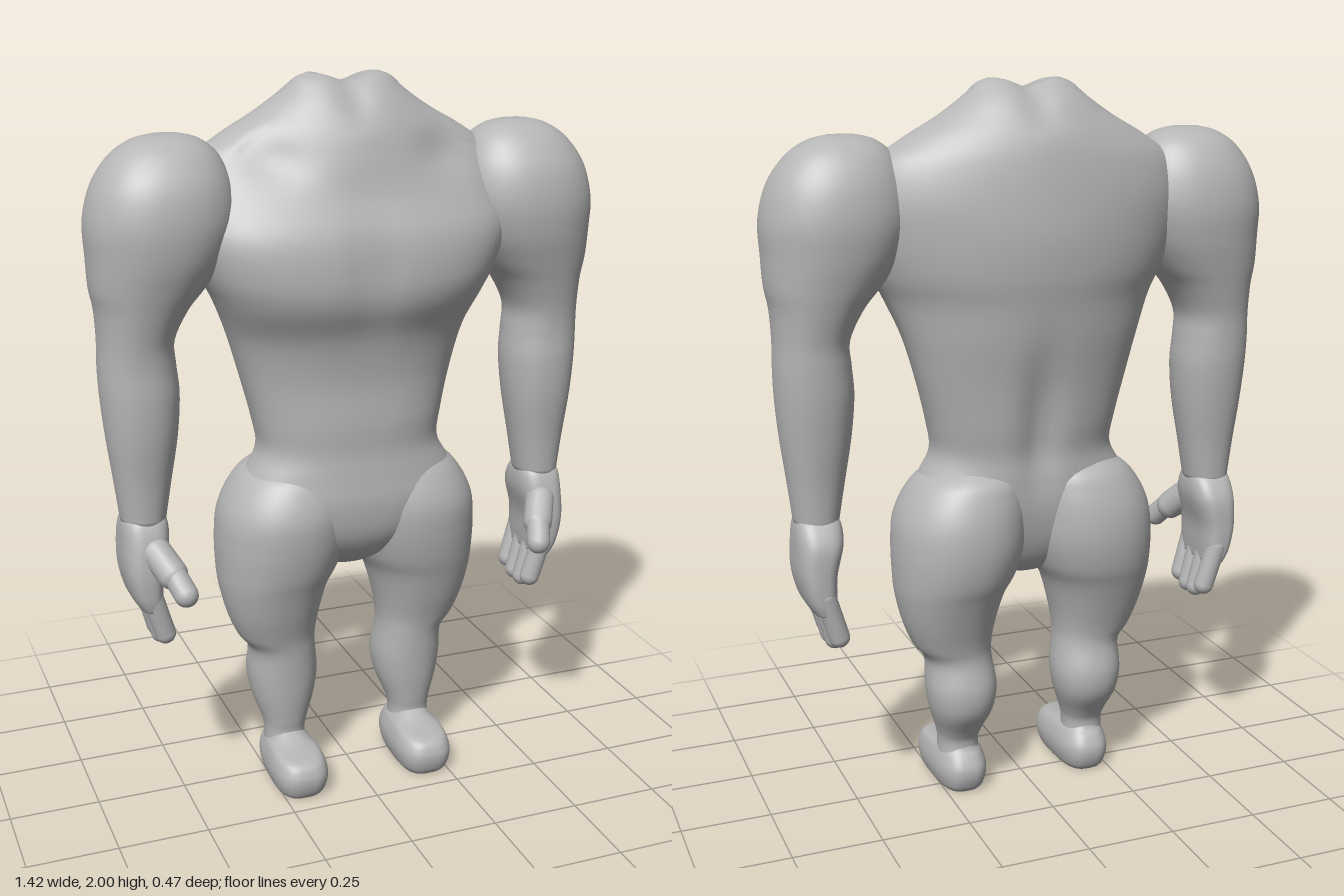
import * as THREE from 'three';

const skin = new THREE.MeshStandardMaterial({ color: 0xb6b6b6 });
skin.name = 'plain grey';

// Smooth value through a list of numbers (Catmull-Rom)
function spline(p, i, t) {
  const a = p[Math.max(i - 1, 0)], b = p[i], c = p[i + 1], d = p[Math.min(i + 2, p.length - 1)];
  return b.map((_, k) => b[k] + 0.5 * t * (c[k] - a[k]
    + t * (2 * a[k] - 5 * b[k] + 4 * c[k] - d[k] + t * (3 * (b[k] - c[k]) + d[k] - a[k]))));
}

// Loft through horizontal sections listed from the top down:
// [y, centre x, half width, front z, back z, front squareness, back squareness]
function loft(name, sections, side = 1, shape = null, sides = 48, steps = 5) {
  const rows = [];
  for (let i = 0; i < sections.length - 1; i++) {
    for (let s = 0; s < steps; s++) rows.push(spline(sections, i, s / steps));
  }
  rows.push(sections[sections.length - 1]);
  const pos = [], index = [], v = new THREE.Vector3();
  const put = (x, y, z) => {
    v.set(x, y, z);
    if (shape) shape(v);
    pos.push(v.x, v.y, v.z);
  };
  rows.forEach(([y, cx, rx, zf, zb, nf = 2.2, nb = nf], r) => {
    for (let j = 0; j < sides; j++) {
      const a = (j / sides) * Math.PI * 2, c = Math.cos(a), s = Math.sin(a);
      const e = 2 / (s >= 0 ? nf : nb);
      put(side * cx + rx * Math.sign(c) * Math.abs(c) ** e, y,
        (zf + zb) / 2 + ((zf - zb) / 2) * Math.sign(s) * Math.abs(s) ** e);
      if (r) {
        const k = (j + 1) % sides, u = (r - 1) * sides, d = r * sides;
        index.push(u + j, u + k, d + j, u + k, d + k, d + j);
      }
    }
  });
  // Close both ends
  [0, rows.length - 1].forEach((r) => {
    const [y, cx, , zf, zb] = rows[r], m = pos.length / 3;
    put(side * cx, y, (zf + zb) / 2);
    for (let j = 0; j < sides; j++) {
      const p = r * sides + j, q = r * sides + ((j + 1) % sides);
      index.push(m, r ? p : q, r ? q : p);
    }
  });
  const g = new THREE.BufferGeometry();
  g.setAttribute('position', new THREE.Float32BufferAttribute(pos, 3));
  g.setIndex(index);
  g.computeVertexNormals();
  const mesh = new THREE.Mesh(g, skin);
  mesh.name = name;
  return mesh;
}

// Rounded digit between two points
function digit(name, a, b, r) {
  const dir = b.clone().sub(a);
  const mesh = new THREE.Mesh(new THREE.CapsuleGeometry(r, dir.length(), 6, 16), skin);
  mesh.position.copy(a).addScaledVector(dir, 0.5);
  mesh.quaternion.setFromUnitVectors(new THREE.Vector3(0, 1, 0), dir.normalize());
  mesh.name = name;
  return mesh;
}

const bump = (x, c, w) => Math.exp(-(((x - c) / w) ** 2));

// Notch at the neck, chest cleft, collar hollow and spine groove
function shapeTorso(v) {
  const mid = bump(v.x, 0, 0.05);
  if (v.y > 1.85) v.y -= 0.025 * mid * Math.min(1, (v.y - 1.85) / 0.1);
  if (v.z > 0.05) {
    v.z -= 0.015 * mid * bump(v.y, 1.5, 0.14);
    v.z -= 0.025 * bump(Math.abs(v.x), 0.24, 0.09) * bump(v.y, 1.79, 0.06);
  } else if (v.z < -0.05) {
    v.z += 0.03 * mid * bump(v.y, 1.08, 0.2);
  }
}

const torso = [
  [2.0, 0, 0.1, 0.01, -0.06, 2, 2],
  [1.985, 0, 0.135, 0.04, -0.09, 2, 2],
  [1.95, 0, 0.175, 0.075, -0.135, 2, 2],
  [1.9, 0, 0.25, 0.11, -0.17, 1.8, 1.9],
  [1.85, 0, 0.34, 0.135, -0.195, 1.7, 1.8],
  [1.79, 0, 0.42, 0.155, -0.212, 1.8, 1.8],
  [1.7, 0, 0.45, 0.18, -0.226, 2.2, 1.9],
  [1.6, 0, 0.45, 0.223, -0.235, 2.6, 1.9],
  [1.5, 0, 0.415, 0.236, -0.23, 2.7, 2],
  [1.42, 0, 0.375, 0.226, -0.218, 2.6, 2],
  [1.32, 0, 0.335, 0.182, -0.204, 2.4, 2.1],
  [1.2, 0, 0.3, 0.16, -0.183, 2.4, 2.2],
  [1.08, 0, 0.27, 0.162, -0.167, 2.4, 2.3],
  [1.0, 0, 0.26, 0.16, -0.155, 2.4, 2.3],
  [0.93, 0, 0.295, 0.166, -0.155, 2.4, 2.3],
  [0.85, 0, 0.33, 0.172, -0.15, 2.4, 2.3],
  [0.76, 0, 0.28, 0.158, -0.13, 2.2, 2.2],
  [0.69, 0, 0.17, 0.115, -0.1, 2, 2],
  [0.645, 0, 0.08, 0.05, -0.06, 2, 2],
];

const leg = [
  [0.98, 0.14, 0.06, 0.06, -0.09],
  [0.94, 0.155, 0.135, 0.13, -0.155],
  [0.89, 0.172, 0.165, 0.162, -0.182],
  [0.82, 0.187, 0.182, 0.182, -0.2],
  [0.74, 0.195, 0.183, 0.178, -0.203],
  [0.66, 0.207, 0.17, 0.163, -0.19],
  [0.6, 0.22, 0.152, 0.145, -0.168],
  [0.52, 0.222, 0.132, 0.122, -0.14],
  [0.45, 0.214, 0.112, 0.1, -0.118],
  [0.4, 0.197, 0.095, 0.09, -0.112],
  [0.32, 0.193, 0.1, 0.083, -0.13],
  [0.25, 0.193, 0.09, 0.077, -0.12],
  [0.18, 0.194, 0.066, 0.068, -0.075],
  [0.14, 0.195, 0.058, 0.063, -0.058],
  [0.08, 0.195, 0.06, 0.07, -0.065],
];

const foot = [
  [0.15, 0.195, 0.035, 0.055, -0.05, 2.4],
  [0.122, 0.193, 0.06, 0.11, -0.062, 2.6],
  [0.105, 0.192, 0.073, 0.185, -0.078, 2.8],
  [0.075, 0.191, 0.083, 0.207, -0.094, 3],
  [0.045, 0.191, 0.084, 0.209, -0.095, 3],
  [0.015, 0.191, 0.076, 0.2, -0.085, 3],
  [0, 0.191, 0.066, 0.188, -0.072, 3],
];

const arm = [
  [1.862, 0.49, 0.04, 0.03, -0.03],
  [1.848, 0.492, 0.09, 0.075, -0.072],
  [1.81, 0.497, 0.14, 0.122, -0.117],
  [1.74, 0.505, 0.18, 0.164, -0.152],
  [1.65, 0.512, 0.197, 0.18, -0.167],
  [1.56, 0.525, 0.182, 0.172, -0.16],
  [1.48, 0.55, 0.153, 0.152, -0.145],
  [1.42, 0.57, 0.122, 0.136, -0.132],
  [1.34, 0.588, 0.1, 0.118, -0.116],
  [1.27, 0.588, 0.102, 0.112, -0.112],
  [1.19, 0.584, 0.104, 0.114, -0.108],
  [1.08, 0.584, 0.095, 0.108, -0.095],
  [0.95, 0.587, 0.076, 0.09, -0.076],
  [0.84, 0.59, 0.06, 0.08, -0.065],
];

const palm = [
  [0.86, 0.59, 0.045, 0.06, -0.05, 3],
  [0.845, 0.59, 0.06, 0.08, -0.07, 3],
  [0.79, 0.592, 0.064, 0.1, -0.1, 3],
  [0.71, 0.602, 0.054, 0.11, -0.105, 3],
  [0.64, 0.597, 0.044, 0.108, -0.104, 3],
  [0.6, 0.588, 0.032, 0.1, -0.098, 3],
];

export function createModel() {
  const model = new THREE.Group();
  model.name = 'headlessFigure';
  model.add(loft('torso', torso, 1, shapeTorso, 72));

  for (const s of [1, -1]) {
    const tag = s > 0 ? 'left' : 'right';
    // Narrower heel, wider toes
    const taper = (v) => { v.x = s * 0.191 + (v.x - s * 0.191) * (0.9 + 0.5 * v.z); };
    model.add(loft(tag + 'Leg', leg, s), loft(tag + 'Foot', foot, s, taper), loft(tag + 'Arm', arm, s));

    // Hand with four fingers and a thumb
    const hand = new THREE.Group();
    hand.name = tag + 'Hand';
    hand.add(loft('palm', palm, s));
    const at = (x, y, z) => new THREE.Vector3(s * x, y, z);
    [0.525, 0.508, 0.51, 0.53].forEach((tip, i) => {
      const z = 0.078 - i * 0.052;
      hand.add(digit('finger', at(0.592, 0.65, z), at(0.556, tip, z * 0.92), 0.029));
    });
    hand.add(digit('thumbBase', at(0.575, 0.77, 0.08), at(0.545, 0.72, 0.13), 0.042));
    hand.add(digit('thumb', at(0.55, 0.74, 0.12), at(0.522, 0.677, 0.182), 0.033));
    model.add(hand);
  }
  return model;
}
